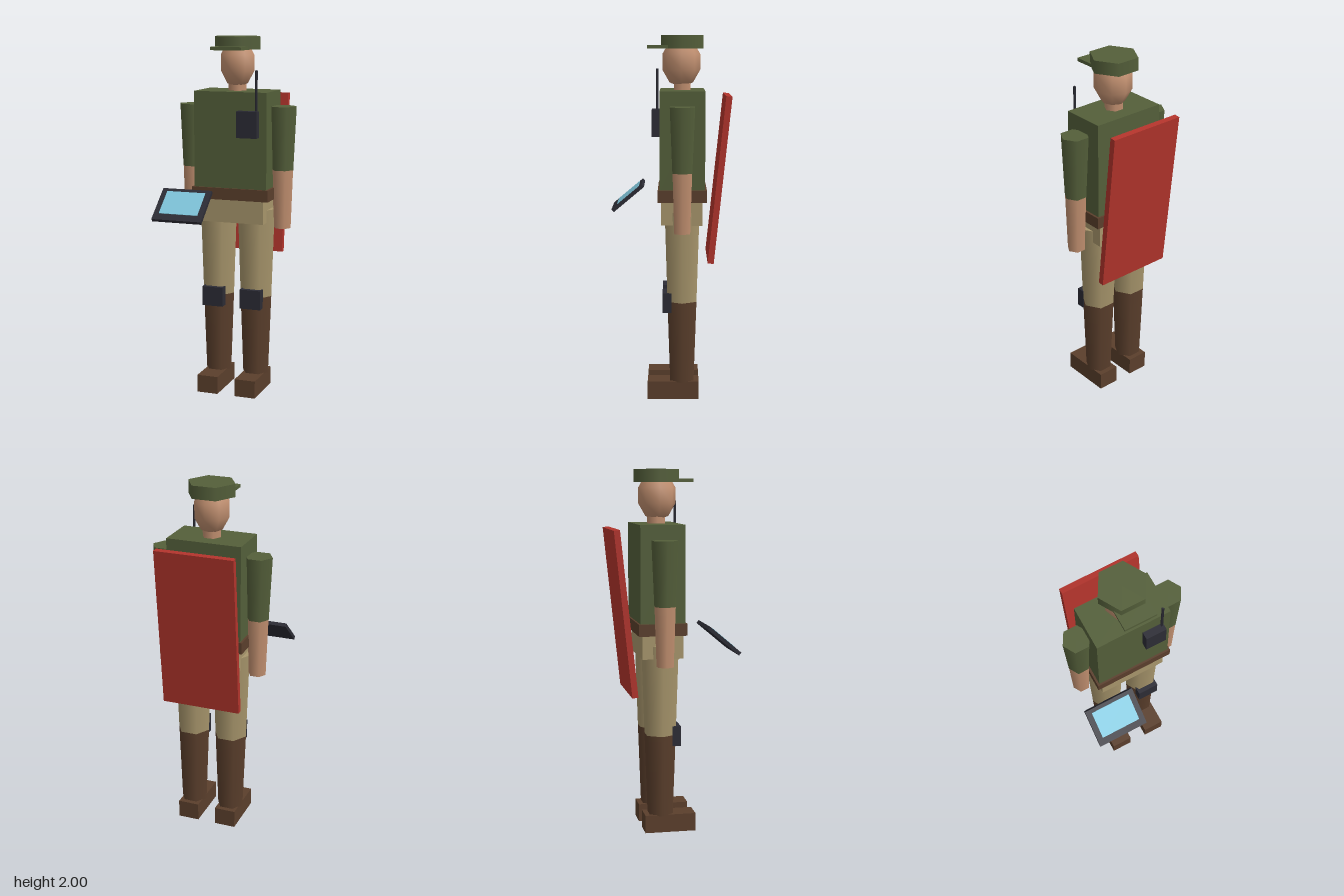
import * as THREE from 'three';

const mat = (name, color) => {
  const m = new THREE.MeshStandardMaterial({ color });
  m.name = name;
  return m;
};

export function createModel() {
  const olive = mat('olive cloth', 0x545f3a);
  const tan = mat('tan cloth', 0xa8966c);
  const brown = mat('brown leather', 0x5b3f2c);
  const skin = mat('skin', 0xc29070);
  const dark = mat('dark plastic', 0x2c2c35);
  const red = mat('red board', 0xb3342c);
  const blue = mat('blue screen', 0x80c6dc);

  const root = new THREE.Group();
  root.name = 'fieldWorker';
  const CX = 0.005, CZ = -0.067; // body axis

  const add = (name, geometry, material, x, y, z, parent = root) => {
    const mesh = new THREE.Mesh(geometry, material);
    mesh.name = name;
    mesh.position.set(x, y, z);
    parent.add(mesh);
    return mesh;
  };
  // Box given by its extents
  const box = (name, material, x0, x1, y0, y1, z0, z1) =>
    add(name, new THREE.BoxGeometry(x1 - x0, y1 - y0, z1 - z0), material,
      (x0 + x1) / 2, (y0 + y1) / 2, (z0 + z1) / 2);
  // Upright tapered prism with corners on the x axis
  const prism = (name, material, x, z, y0, y1, r0, r1, sides = 6) =>
    add(name, new THREE.CylinderGeometry(r1, r0, y1 - y0, sides, 1, false, Math.PI / 2),
      material, x, (y0 + y1) / 2, z);

  // Torso, belt and hips
  box('torso', olive, -0.205, 0.215, 1.16, 1.705, -0.19, 0.055);
  box('belt', brown, -0.217, 0.227, 1.11, 1.175, -0.2, 0.065);
  box('hips', tan, -0.185, 0.195, 0.98, 1.12, -0.177, 0.048);

  // Neck, head and cap
  prism('neck', skin, CX, CZ, 1.69, 1.78, 0.052, 0.052);
  const head = add('head', new THREE.SphereGeometry(1, 8, 5), skin, CX + 0.002, 1.857, -0.062);
  head.scale.set(0.103, 0.138, 0.109);
  prism('cap', olive, CX, CZ, 1.93, 2, 0.132, 0.132);
  box('capBrim', olive, -0.083, 0.093, 1.93, 1.948, 0, 0.123);

  // Limbs
  for (const [side, s] of [['right', -1], ['left', 1]]) {
    const lx = CX + s * 0.112;
    box(side + 'Boot', brown, lx - 0.06, lx + 0.06, 0, 0.1, -0.16, 0.123);
    prism(side + 'LowerLeg', brown, lx, CZ, 0.095, 0.55, 0.075, 0.092);
    prism(side + 'UpperLeg', tan, lx, CZ, 0.55, 1.05, 0.092, 0.109);
    box(side + 'KneePad', dark, lx - 0.061, lx + 0.061, 0.49, 0.6, -0.008, 0.04);

    const ax = CX + s * 0.265;
    prism(side + 'Sleeve', olive, ax, CZ, 1.275, 1.625, 0.061, 0.077);
    prism(side + 'Forearm', skin, ax, CZ, 0.95, 1.275, 0.049, 0.06);
  }

  // Chest radio
  box('radio', dark, 0.056, 0.172, 1.46, 1.605, 0.05, 0.097);
  prism('radioAntenna', dark, 0.16, 0.067, 1.6, 1.825, 0.008, 0.008, 3);

  // Tilted tablet held in front
  const tablet = new THREE.Group();
  tablet.name = 'tablet';
  tablet.position.set(-0.205, 1.094, 0.239);
  tablet.rotation.x = THREE.MathUtils.degToRad(40);
  root.add(tablet);
  add('tabletCase', new THREE.BoxGeometry(0.286, 0.02, 0.223), dark, 0, 0, 0, tablet);
  add('tabletScreen', new THREE.BoxGeometry(0.224, 0.006, 0.159), blue, 0, 0.01, -0.01, tablet);

  // Board leaning behind the back
  const board = add('backBoard', new THREE.BoxGeometry(0.443, 0.907, 0.033), red, CX, 1.228, -0.269);
  board.rotation.x = THREE.MathUtils.degToRad(-6);

  return root;
}
